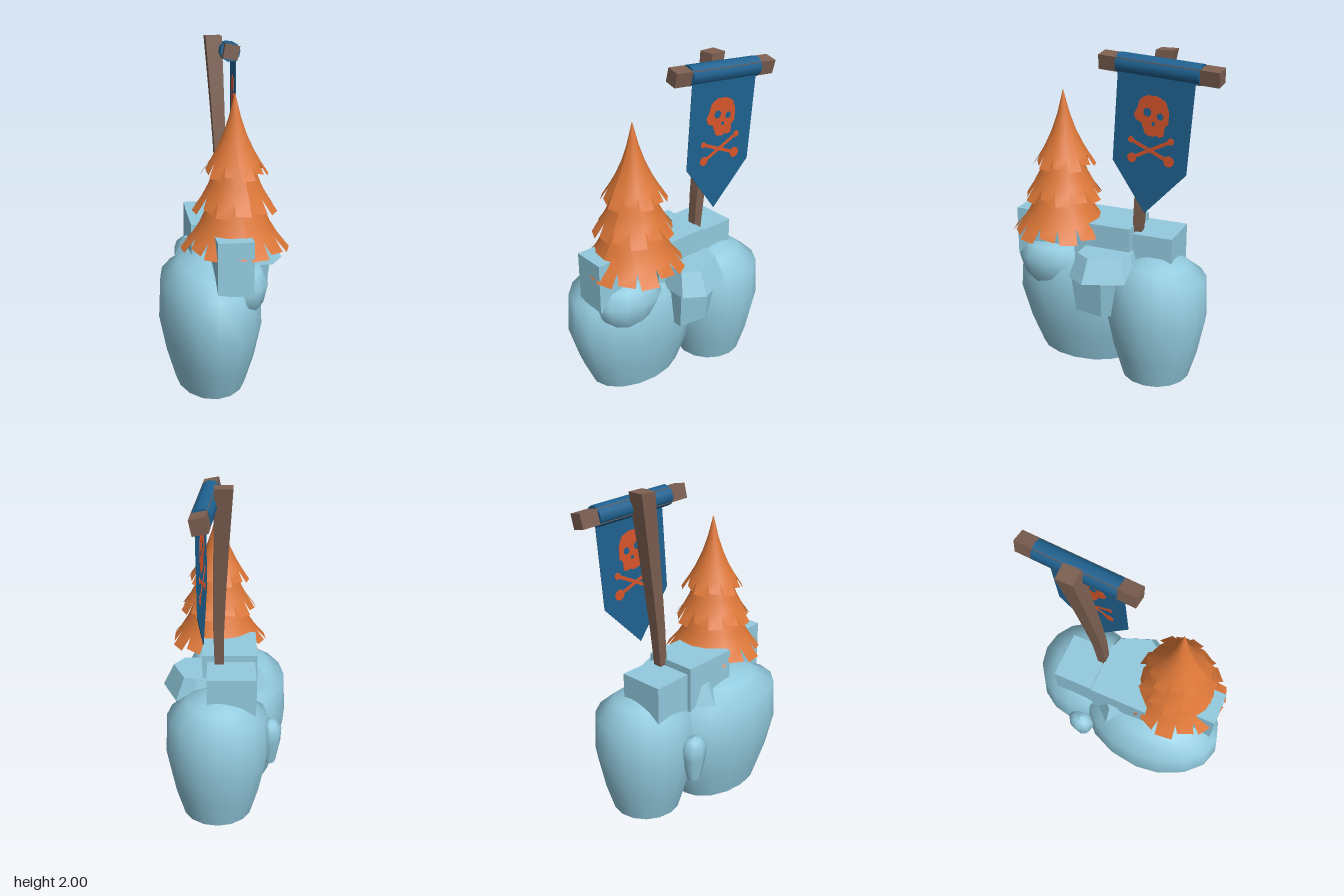
import * as THREE from 'three';
import { ConvexGeometry } from 'three/addons/geometries/ConvexGeometry.js';

const mat = (name, color, extra = {}) =>
  Object.assign(new THREE.MeshStandardMaterial({ color, ...extra }), { name });

export function createModel() {
  const model = new THREE.Group();
  const stone = mat('paleBlueStone', 0x92cade);
  const wood = mat('brownWood', 0x7d6052, { flatShading: true });
  const leaf = mat('orangeLeaf', 0xdb7637, { side: THREE.DoubleSide });
  const cloth = mat('blueCloth', 0x1f6291);
  const paint = mat('redPaint', 0xd9552b);
  const V = (x, y, z) => new THREE.Vector3(x, y, z);

  const add = (name, geo, material, parent = model) => {
    const mesh = new THREE.Mesh(geo, material);
    mesh.name = name;
    parent.add(mesh);
    return mesh;
  };

  // Rounded stones: a unit profile [radius, y], stretched to an oval, with a flat base
  function stoneLathe(name, profile, cx, cz, rx, rz, sides = 16) {
    const pts = profile.map(([r, y]) => new THREE.Vector2(r, y));
    const geo = new THREE.LatheGeometry(pts, sides);
    geo.scale(rx, 1, rz).translate(cx, 0, cz);
    add(name, geo, stone);
    const [r0, y0] = profile[0];
    const base = new THREE.CircleGeometry(r0, sides).rotateX(Math.PI / 2);
    base.scale(rx, 1, rz).translate(cx, y0, cz);
    add(name + 'Base', base, stone);
  }
  const boulder = [[0.69, 0], [0.86, 0.18], [1, 0.4], [0.96, 0.65], [0.6, 0.74], [0.25, 0.785], [0, 0.79]];
  stoneLathe('frontBoulder', boulder, -0.085, 0.22, 0.305, 0.458);
  stoneLathe('backBoulder', boulder, 0.05, -0.31, 0.308, 0.308);
  stoneLathe('mound', [[0.55, 0.49], [0.85, 0.57], [1, 0.68], [0.7, 0.76], [0, 0.785]], 0.075, 0.38, 0.155, 0.23, 12);
  stoneLathe('sidePebble', [[0.55, 0.27], [0.95, 0.42], [1, 0.5], [0.6, 0.54], [0, 0.555]], -0.27, -0.215, 0.07, 0.085, 8);

  // Angular slab between the boulders, and the wedge under it
  const rim = [[-0.28, -0.03], [-0.12, -0.2], [0.2, -0.22], [0.3, -0.19], [0.39, 0.04], [0.31, 0.16], [-0.15, 0.16]];
  const frustum = (ring, y0, y1, cx, cz, s) => new ConvexGeometry(ring.flatMap(([x, z]) =>
    [V(x, y0, z), V(cx + (x - cx) * s, y1, cz + (z - cz) * s)]));
  add('slab', frustum(rim, 0.67, 0.81, 0.05, -0.02, 0.8), stone);
  const wedge = [[0, -0.18], [0.26, -0.18], [0.32, -0.05], [0.29, 0.155], [0, 0.155]];
  add('wedge', frustum(wedge, 0.67, 0.43, 0.1, 0, 0.87), stone);

  // Square blocks resting on top: [name, x0, x1, y0, y1, z0, z1]
  for (const [name, x0, x1, y0, y1, z0, z1] of [
    ['frontBlock', -0.09, 0.11, 0.665, 0.975, 0.29, 0.61],
    ['middleBlock', -0.19, 0.14, 0.66, 0.955, -0.16, 0.2],
    ['backBlock', -0.175, 0.11, 0.67, 0.92, -0.415, -0.17],
  ]) {
    const geo = new THREE.BoxGeometry(x1 - x0, y1 - y0, z1 - z0);
    geo.translate((x0 + x1) / 2, (y0 + y1) / 2, (z0 + z1) / 2);
    add(name, geo, stone);
  }

  // Tree: trunk and three skirts of foliage with ragged, notched hems
  const tree = new THREE.Group();
  tree.name = 'tree';
  model.add(tree);
  add('trunk', new THREE.CylinderGeometry(0.03, 0.04, 0.4, 8).translate(0.04, 0.9, 0.27), wood, tree);

  function skirt(name, rows, petals, cz, turn) {
    const pos = [], idx = [], step = (Math.PI * 2) / petals;
    const put = (r, y, a) => pos.push(0.047 + r * Math.sin(a), y, cz + r * Math.cos(a));
    const body = rows.slice(0, -1), [hemR, hemY] = rows.at(-1);
    for (const [r, y] of body) for (let i = 0; i <= petals; i++) put(r, y, turn + i * step);
    const w = petals + 1;
    for (let j = 0; j < body.length - 1; j++) for (let i = 0; i < petals; i++) {
      const a = j * w + i, b = a + w;
      idx.push(a, b, a + 1, a + 1, b, b + 1);
    }
    // Each petal hangs from the last full ring; alternate ones are longer
    for (let i = 0; i < petals; i++) {
      const top = (body.length - 1) * w + i, k = pos.length / 3;
      const short = [0, 0.02, 0.005, 0.03][(i * 3 + petals) % 4];
      put(hemR - short, hemY + short, turn + (i + 0.13) * step);
      put(hemR - short * 0.6, hemY + short * 0.5, turn + (i + 0.9) * step);
      idx.push(top, k, top + 1, top + 1, k, k + 1);
    }
    const geo = new THREE.BufferGeometry();
    geo.setAttribute('position', new THREE.Float32BufferAttribute(pos, 3));
    geo.setIndex(idx);
    geo.computeVertexNormals();
    add(name, geo, leaf, tree);
  }
  skirt('lowerFoliage', [[0.1, 1.24], [0.15, 1.12], [0.2, 1.01], [0.245, 0.94], [0.312, 0.86]], 14, 0.32, 0.1);
  skirt('middleFoliage', [[0.07, 1.44], [0.11, 1.33], [0.15, 1.23], [0.185, 1.165], [0.245, 1.08]], 13, 0.31, 0.3);
  skirt('upperFoliage', [[0, 1.74], [0.035, 1.6], [0.07, 1.5], [0.11, 1.415], [0.145, 1.355], [0.195, 1.28]], 12, 0.302, 0);

  // Bent square pole, thickening to the top
  const path = new THREE.CatmullRomCurve3([V(0.035, 0.7, -0.165), V(0.04, 1.15, -0.195), V(0.027, 1.6, -0.26), V(0.01, 2, -0.325)]);
  const pole = new THREE.BoxGeometry(1, 1, 1, 1, 6, 1);
  const p = pole.attributes.position;
  for (let i = 0; i < p.count; i++) {
    const t = p.getY(i) + 0.5, c = path.getPoint(t), s = 0.045 + 0.055 * t;
    p.setXYZ(i, c.x + p.getX(i) * s, c.y, c.z + p.getZ(i) * s);
  }
  pole.computeVertexNormals();
  add('pole', pole, wood);

  // Crossbar with the cloth rolled around it
  const crossbar = new THREE.Group();
  crossbar.name = 'crossbar';
  const barStart = V(0.07, 1.93, 0.04), barEnd = V(0.133, 1.885, -0.675);
  crossbar.position.copy(barStart).lerp(barEnd, 0.5);
  crossbar.lookAt(barEnd);
  crossbar.rotateZ(0.2);
  model.add(crossbar);
  add('bar', new THREE.BoxGeometry(0.085, 0.085, 0.72), wood, crossbar);
  add('clothRoll', new THREE.CylinderGeometry(0.06, 0.06, 0.5, 10).rotateX(Math.PI / 2), cloth, crossbar);

  // Hanging banner, drawn flat with u running toward the back
  const banner = new THREE.Group();
  banner.name = 'banner';
  banner.position.x = 0.106;
  banner.rotation.y = Math.PI / 2 - 0.09;
  model.add(banner);
  const shapeOf = pts => new THREE.Shape(pts.map(([x, y]) => new THREE.Vector2(x, y)));
  const plate = (name, shape, depth, material) => add(name, new THREE.ExtrudeGeometry(shape,
    { depth, bevelEnabled: false, curveSegments: 10 }).translate(0, 0, -depth / 2), material, banner);
  plate('bannerCloth', shapeOf([[0.075, 1.89], [0.042, 1.365], [0.25, 1.07], [0.502, 1.335], [0.54, 1.86]]), 0.004, cloth);

  // Painted skull with eye and nose holes, showing on both sides
  const skull = shapeOf([[0.225, 1.745], [0.26, 1.762], [0.32, 1.76], [0.37, 1.735], [0.39, 1.68], [0.388, 1.61],
    [0.365, 1.59], [0.36, 1.54], [0.335, 1.53], [0.315, 1.54], [0.295, 1.53], [0.25, 1.54], [0.235, 1.575],
    [0.225, 1.605], [0.19, 1.62], [0.178, 1.65], [0.2, 1.69], [0.21, 1.725]]);
  for (const [u, v, r] of [[0.26, 1.667, 0.024], [0.338, 1.648, 0.02], [0.298, 1.605, 0.011]])
    skull.holes.push(new THREE.Path().absarc(u, v, r, 0, Math.PI * 2, true));
  plate('paintedSkull', skull, 0.009, paint);

  // Painted crossed bones: a thin shaft with a knob at each end
  for (const [u0, v0, u1, v1, r0, r1] of [
    [0.165, 1.395, 0.405, 1.515, 0.028, 0.02],
    [0.16, 1.5, 0.395, 1.4, 0.018, 0.032],
  ]) {
    const l = Math.hypot(u1 - u0, v1 - v0), nu = (-(v1 - v0) / l) * 0.01, nv = ((u1 - u0) / l) * 0.01;
    plate('paintedBone', shapeOf([[u0 - nu, v0 - nv], [u1 - nu, v1 - nv], [u1 + nu, v1 + nv], [u0 + nu, v0 + nv]]), 0.009, paint);
    for (const [u, v, r] of [[u0, v0, r0], [u1, v1, r1]])
      plate('paintedKnob', new THREE.Shape().absarc(u, v, r, 0, Math.PI * 2), 0.0086, paint);
  }
  return model;
}
